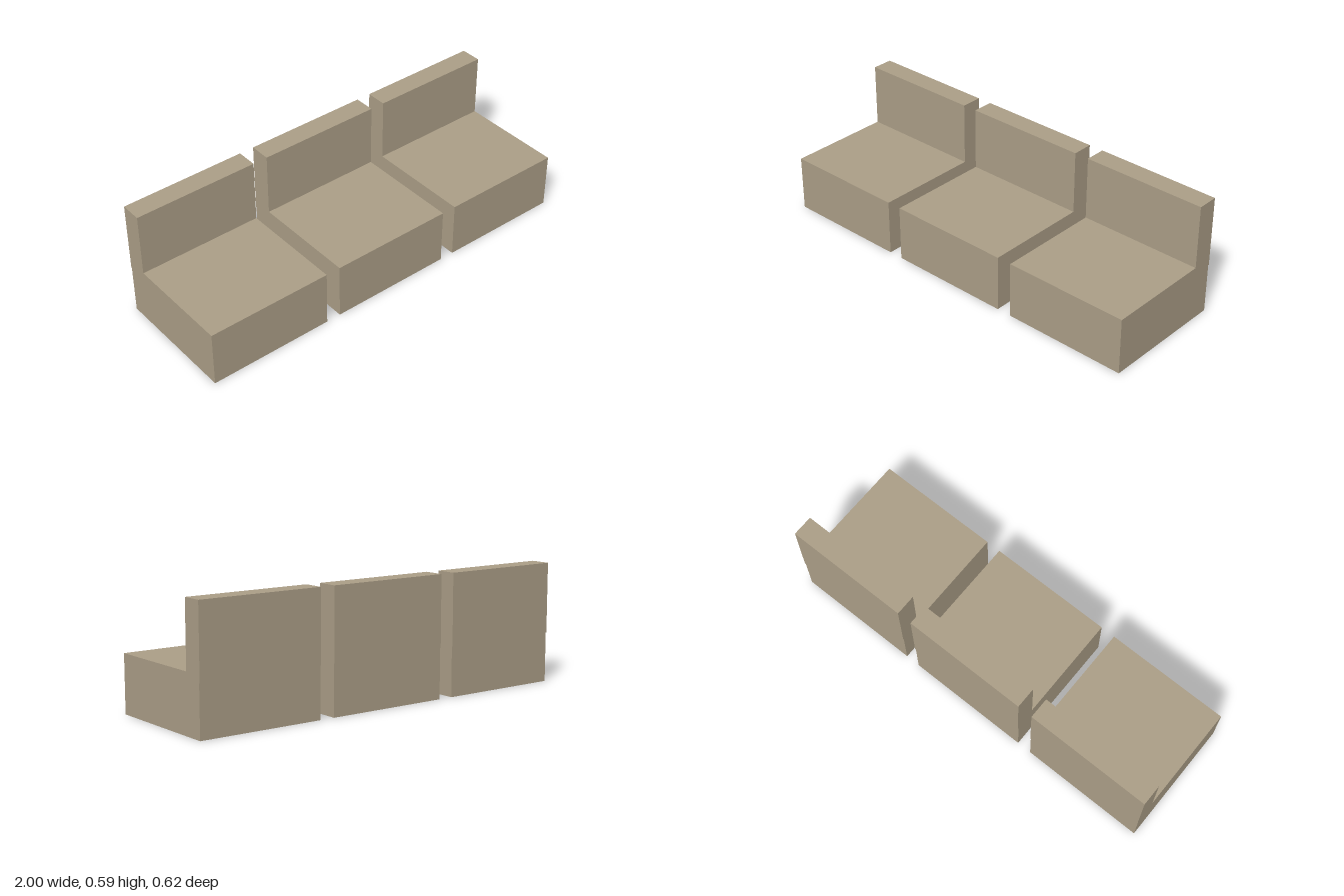
import * as THREE from 'three';

const WIDTH = 0.618;
const SPACING = 0.691;

export function createModel() {
  const model = new THREE.Group();
  model.name = 'seatRow';

  const upholstery = new THREE.MeshStandardMaterial({ color: 0xab9e87 });
  upholstery.name = 'beige upholstery';

  // Block spanning the full seat width between two heights and two depths
  const block = (name, y0, y1, z0, z1) => {
    const mesh = new THREE.Mesh(new THREE.BoxGeometry(WIDTH, y1 - y0, z1 - z0), upholstery);
    mesh.name = name;
    mesh.position.set(0, (y0 + y1) / 2, (z0 + z1) / 2);
    return mesh;
  };

  // Three identical seats side by side
  ['rightSeat', 'middleSeat', 'leftSeat'].forEach((name, i) => {
    const seat = new THREE.Group();
    seat.name = name;
    seat.position.x = (i - 1) * SPACING;
    seat.add(
      block('seatBase', 0, 0.277, -0.308, 0.312),
      // Backrest sinks into the base and overhangs it slightly at the rear
      block('backrest', 0.243, 0.588, -0.312, -0.209)
    );
    model.add(seat);
  });

  return model;
}
